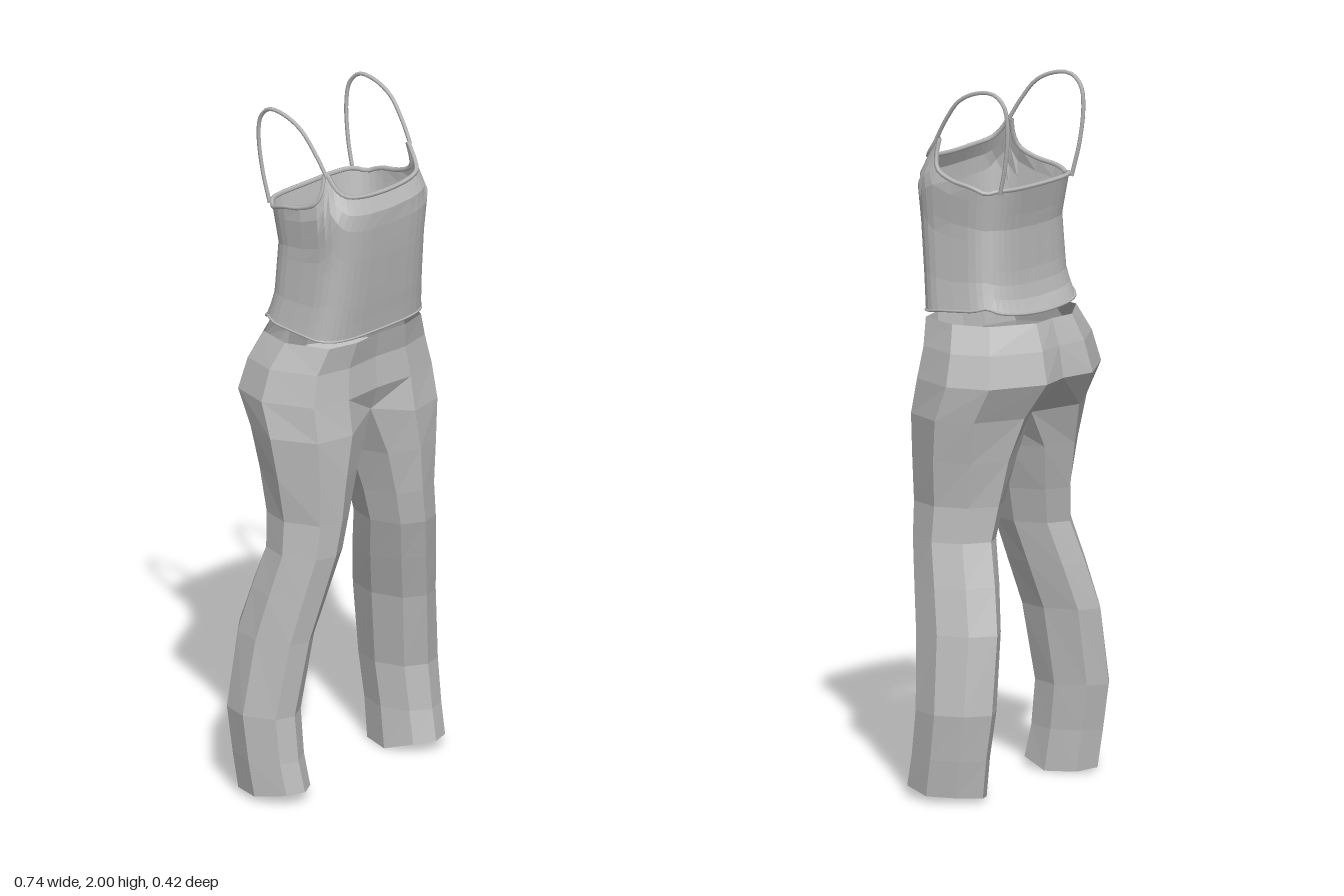
import * as THREE from 'three';

const cloth = new THREE.MeshStandardMaterial({ color: 0xbcbcbc, side: THREE.DoubleSide });
cloth.name = 'grey cloth';

// Skin a list of rings (bottom to top) with flat facets; closed joins the last point to the first
function loft(rings, closed, flip = false) {
  const n = rings[0].length, pos = [], idx = [];
  rings.forEach(r => r.forEach(p => pos.push(...p)));
  for (let j = 0; j < rings.length - 1; j++) {
    for (let i = 0; i < (closed ? n : n - 1); i++) {
      const a = j * n + i, b = j * n + (i + 1) % n, c = b + n, d = a + n;
      if (flip) idx.push(a, c, b, a, d, c);
      else idx.push(a, b, c, a, c, d);
    }
  }
  let g = new THREE.BufferGeometry();
  g.setAttribute('position', new THREE.Float32BufferAttribute(pos, 3));
  g.setIndex(idx);
  g = g.toNonIndexed();
  g.computeVertexNormals();
  return g;
}

function add(group, name, geometry) {
  const m = new THREE.Mesh(geometry, cloth);
  m.name = name;
  group.add(m);
}

// Linear interpolation in a table of rows [key, value, value, ...]
function lookup(rows, k) {
  let i = 0;
  while (i < rows.length - 2 && k > rows[i + 1][0]) i++;
  const a = rows[i], b = rows[i + 1];
  const t = THREE.MathUtils.clamp((k - a[0]) / (b[0] - a[0]), 0, 1);
  return a.slice(1).map((v, q) => v + (b[q + 1] - v) * t);
}

// ---- Trousers ----
// Leg levels: y, inner x, outer x, front z, back z
const legLevels = [
  [0.015, 0.185, 0.36, 0.13, -0.11], [0.12, 0.19, 0.366, 0.11, -0.125],
  [0.25, 0.185, 0.37, 0.095, -0.145], [0.47, 0.155, 0.335, 0.12, -0.14],
  [0.6, 0.12, 0.31, 0.145, -0.11], [0.72, 0.09, 0.285, 0.168, -0.077],
  [0.82, 0.065, 0.275, 0.175, -0.09], [0.95, 0.022, 0.292, 0.18, -0.115],
];
const legSection = [[0.15, 0.72], [0.48, 1], [0.8, 0.85], [1, 0.1], [0.86, -0.6], [0.5, -1], [0.16, -0.75], [0, 0]];
const hemDrop = [0.012, 0.015, 0.015, 0, 0, -0.005, -0.012, -0.015];

// Hip levels: y, outer x, front z, back z, centre back z
const hipLevels = [
  [1.07, 0.306, 0.18, -0.15, -0.09], [1.17, 0.302, 0.165, -0.212, -0.19],
  [1.26, 0.275, 0.156, -0.19, -0.175], [1.335, 0.235, 0.17, -0.158, -0.15],
];
const hipSection = [[0, 0.95], [0.42, 1], [0.8, 0.86], [1, 0.1], [0.88, -0.55], [0.36, -1], [0, 0]];

function trouserSide(s) {
  const legs = legLevels.map(([y, x0, x1, f, b], j) => legSection.map(([u, w], i) =>
    [s * (x0 + (x1 - x0) * u), y + (j ? 0 : hemDrop[i]), (f + b) / 2 + w * (f - b) / 2]));
  const hips = hipLevels.map(([y, x, f, b, cb]) => hipSection.map(([u, w], i) =>
    [s * x * u, y, i === 6 ? cb : (f + b) / 2 + w * (f - b) / 2]));
  // the crotch: front and back seams meet under the body
  hips[0][0] = [0, 1.1, 0.13];
  hips[0][6] = [0, 1.06, -0.08];
  hips[0][5][0] = s * 0.13;
  legs.push([...hips[0], [0, 1.02, 0.02]]);
  return { leg: loft(legs, true, s < 0), hip: loft(hips, false, s < 0) };
}

// ---- Camisole ----
// Body: y, half width, front z, back z
const bodyLevels = [
  [1.35, 0.222, 0.172, -0.135], [1.385, 0.216, 0.176, -0.112], [1.45, 0.206, 0.185, -0.096],
  [1.6, 0.196, 0.203, -0.09], [1.72, 0.206, 0.213, -0.112], [1.79, 0.188, 0.182, -0.11],
  [1.85, 0.178, 0.155, -0.1],
];
// Angle from the front, height of the hem and of the neckline
const edges = [
  [0, 1.352, 1.77], [0.6, 1.354, 1.782], [0.85, 1.356, 1.8], [1.1, 1.358, 1.85], [1.33, 1.362, 1.775],
  [1.6, 1.37, 1.73], [2.1, 1.385, 1.705], [2.4, 1.37, 1.715], [Math.PI, 1.355, 1.712],
];

function bodyPoint(a, t) {
  const [lo, hi] = lookup(edges, Math.abs(a));
  const y = lo + (hi - lo) * t;
  const [w, f, b] = lookup(bodyLevels, y);
  const soft = v => Math.sign(v) * Math.sqrt(Math.abs(v));
  return [w * soft(Math.sin(a)), y, (f + b) / 2 + (f - b) / 2 * soft(Math.cos(a))];
}

function edgeBinding(t, radius) {
  const pts = [];
  for (let i = 0; i < 40; i++) pts.push(new THREE.Vector3(...bodyPoint(-Math.PI + i * Math.PI / 20, t)));
  return new THREE.TubeGeometry(new THREE.CatmullRomCurve3(pts, true), 80, radius, 5, true);
}

// Flat ribbon following an arc over the shoulder
function strap(s) {
  const curve = new THREE.CatmullRomCurve3([
    [0.172, 1.84, 0.122], [0.178, 1.9, 0.085], [0.183, 1.96, 0.035], [0.185, 1.99, -0.03],
    [0.185, 1.991, -0.085], [0.183, 1.96, -0.118], [0.18, 1.9, -0.128], [0.175, 1.8, -0.118], [0.17, 1.705, -0.095],
  ].map(p => new THREE.Vector3(s * p[0], p[1], p[2])));
  return new THREE.TubeGeometry(curve, 32, 0.006, 5, false);
}

export function createModel() {
  const model = new THREE.Group();
  model.name = 'outfit';

  const trousers = new THREE.Group();
  trousers.name = 'trousers';
  for (const [s, side] of [[1, 'left'], [-1, 'right']]) {
    const { leg, hip } = trouserSide(s);
    add(trousers, side + 'Leg', leg);
    add(trousers, side + 'Hip', hip);
  }

  const camisole = new THREE.Group();
  camisole.name = 'camisole';
  const rings = [];
  for (let j = 0; j <= 9; j++) {
    const ring = [];
    for (let i = 0; i < 40; i++) ring.push(bodyPoint(-Math.PI + i * Math.PI / 20, j / 9));
    rings.push(ring);
  }
  add(camisole, 'body', loft(rings, true));
  add(camisole, 'necklineBinding', edgeBinding(1, 0.007));
  add(camisole, 'hem', edgeBinding(0, 0.004));
  add(camisole, 'leftStrap', strap(1));
  add(camisole, 'rightStrap', strap(-1));

  model.add(trousers, camisole);
  return model;
}
